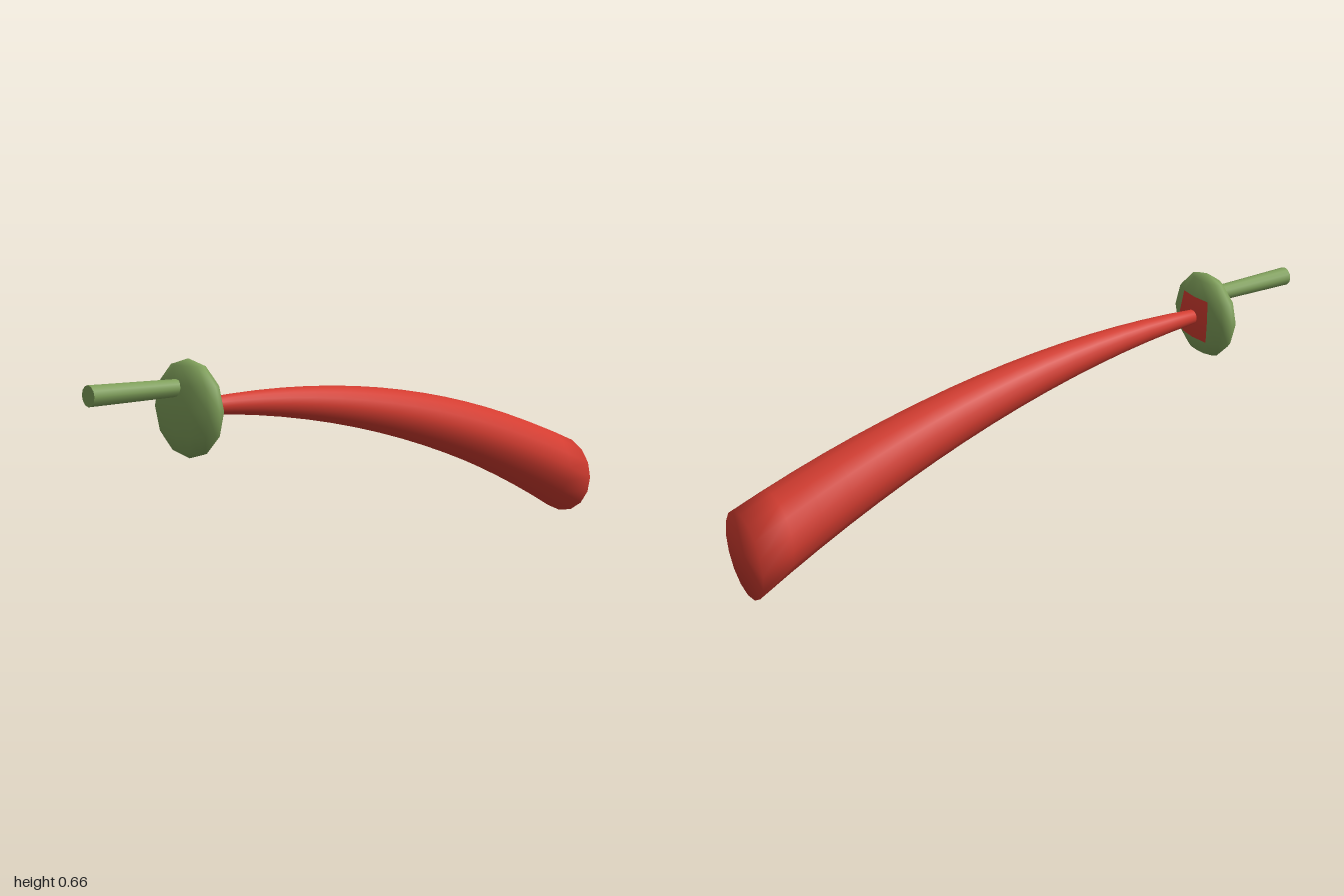
import * as THREE from 'three';

const red = new THREE.MeshStandardMaterial({ color: 0xd33c30 });
red.name = 'red';
const green = new THREE.MeshStandardMaterial({ color: 0x7f9f5a });
green.name = 'green';

// Drooping, widening tube made of upright rings, closed at both ends
function curvedHorn() {
  const sides = 16, steps = 16, x0 = -0.62, x1 = 1;
  const centreY = x => 0.462 - 0.179 * x - 0.146 * x * x;
  const positions = [], index = [];
  for (let i = 0; i <= steps; i++) {
    const t = i / steps, x = x0 + (x1 - x0) * t;
    const r = 0.023 + 0.113 * t;
    for (let j = 0; j < sides; j++) {
      const a = (j / sides) * Math.PI * 2;
      positions.push(x, centreY(x) + r * Math.cos(a), r * Math.sin(a));
    }
  }
  const tip = positions.length / 3, end = tip + 1, last = steps * sides;
  positions.push(x0, centreY(x0), 0, x1, centreY(x1), 0);
  for (let j = 0; j < sides; j++) {
    const k = (j + 1) % sides;
    for (let i = 0; i < steps; i++) {
      const a = i * sides + j, b = i * sides + k;
      index.push(a, b, a + sides, b, b + sides, a + sides);
    }
    index.push(tip, k, j, end, last + j, last + k);
  }
  const geometry = new THREE.BufferGeometry();
  geometry.setAttribute('position', new THREE.Float32BufferAttribute(positions, 3));
  geometry.setIndex(index);
  geometry.computeVertexNormals(); // shared rims give softly shaded ends
  return geometry;
}

// Flattened ball whose four faces around the horn are painted
function paintedDisc() {
  const geometry = new THREE.SphereGeometry(0.143, 12, 6);
  geometry.scale(0.4, 1, 1);
  geometry.clearGroups();
  geometry.addGroup(0, 138, 0);
  geometry.addGroup(138, 12, 1);
  geometry.addGroup(150, 60, 0);
  geometry.addGroup(210, 12, 1);
  geometry.addGroup(222, 138, 0);
  return geometry;
}

export function createModel() {
  const model = new THREE.Group();
  const add = (name, geometry, material, x = 0, y = 0) => {
    const mesh = new THREE.Mesh(geometry, material);
    mesh.name = name;
    mesh.position.set(x, y, 0);
    model.add(mesh);
    return mesh;
  };

  add('horn', curvedHorn(), red);
  add('disc', paintedDisc(), [green, red], -0.664, 0.515);

  // Slightly tapered mouth rod, its wide end pointing away from the disc
  const rod = add('rod', new THREE.CylinderGeometry(0.03, 0.025, 0.32, 12), green, -0.84, 0.577);
  rod.rotation.z = Math.PI / 2;

  return model;
}
